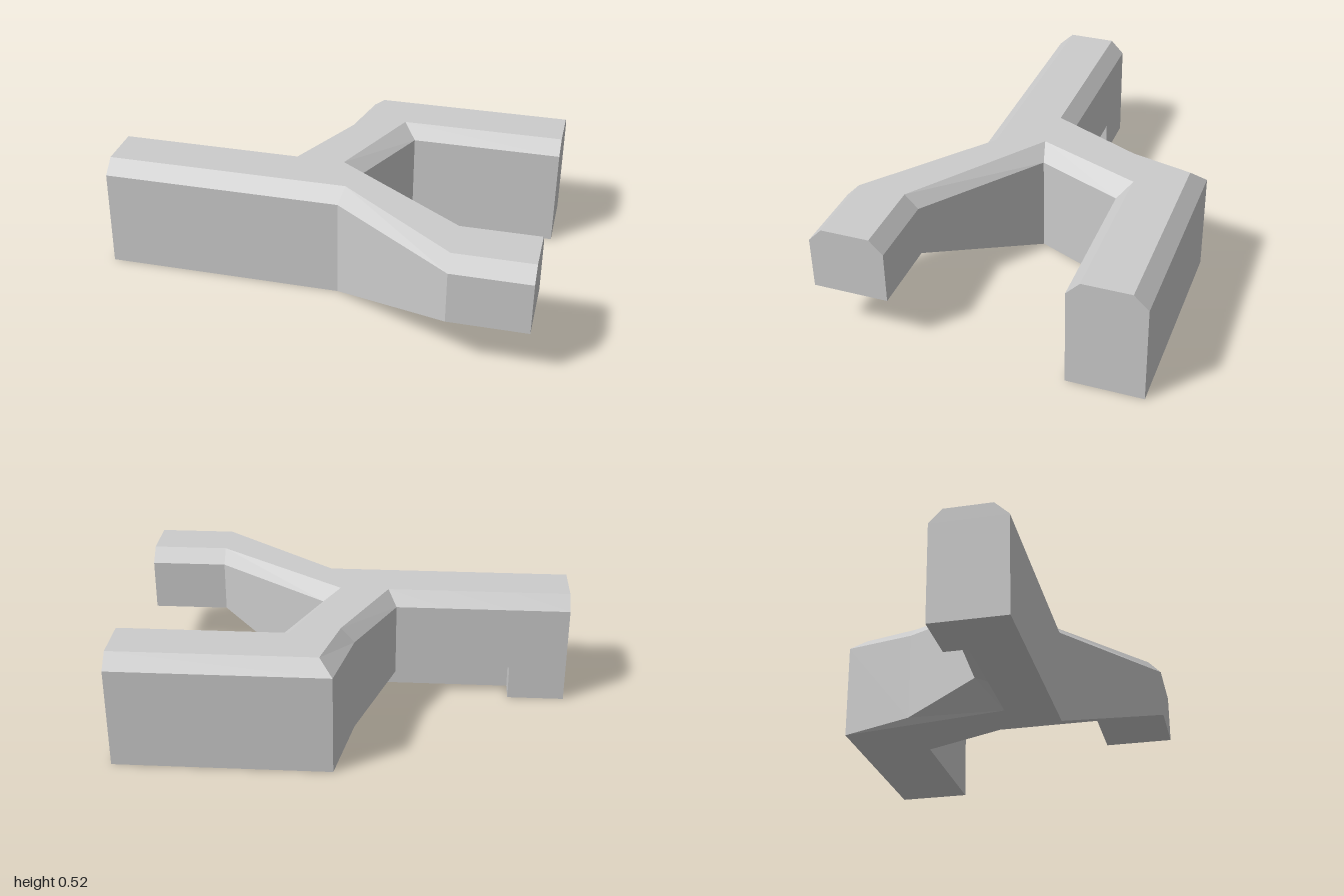
import * as THREE from 'three';

const RIM = 0.455, TOP = 0.517;

// Outline corners, clockwise from above: outer x, outer z, underside height, top x, top z
const OUTLINE = [
  [-1, -0.04, 0, -1, 0.02],
  [-0.74, -0.04, 0, -0.74, 0.02],
  [-0.74, -0.04, 0.16, -0.74, 0.02],
  [-0.45, -0.04, 0.16, -0.45, 0.02],
  [-0.21, -0.04, 0.12, -0.17, 0.02],
  [-0.04, -0.4, 0.03, 0.02, -0.39],
  [0.03, -0.73, 0, 0.09, -0.665],
  [0.99, -0.73, 0, 0.99, -0.665],
  [0.99, -0.39, 0, 0.99, -0.45],
  [0.3, -0.39, 0, 0.24, -0.45],
  [0.13, 0, 0, 0.05, 0.02],
  [0.65, 0.385, 0.22, 0.65, 0.445],
  [1, 0.385, 0.22, 1, 0.445],
  [1, 0.72, 0.22, 1, 0.66],
  [0.65, 0.72, 0.22, 0.65, 0.66],
  [0.09, 0.3, 0, 0.11, 0.235],
  [-1, 0.3, 0, -1, 0.235],
];
const foot = OUTLINE.map(([x, z, y]) => [x, y, z]);
const rim = OUTLINE.map(([x, z]) => [x, RIM, z]);
const crest = OUTLINE.map(([, , , x, z]) => [x, TOP, z]);

// Inner edge of the groove cut under the back of the stem
const groove = [[-0.74, 0, 0.07], [-0.74, 0.16, 0.07], [-0.45, 0.16, 0.07], [-0.2, 0.08, 0.07], [-0.09, 0, 0.07]];

// Fan of triangles, corners in facing order
function fan(points) {
  const out = [];
  for (let i = 1; i < points.length - 1; i++) out.push(points[0], points[i], points[i + 1]);
  return out;
}

// Roughly level polygon turned to face up (1) or down (-1)
function level(points, facing) {
  const flat = points.map(([x, , z]) => new THREE.Vector2(x, z));
  return THREE.ShapeUtils.triangulateShape(flat, []).flatMap(([a, b, c]) => {
    const ab = flat[b].clone().sub(flat[a]), ac = flat[c].clone().sub(flat[a]);
    const up = -ab.cross(ac);
    return (up * facing > 0 ? [a, b, c] : [a, c, b]).map((i) => points[i]);
  });
}

// Band of quads between two loops; the stacked groove corner has no width
function band(low, high) {
  return low.flatMap((a, i) => {
    const j = (i + 1) % low.length;
    if (a[0] === low[j][0] && a[2] === low[j][2]) return [];
    return fan([a, high[i], high[j], low[j]]);
  });
}

export function createModel() {
  const group = new THREE.Group();
  group.name = 'forkedBlock';
  const material = new THREE.MeshStandardMaterial({ color: 0xcccccc, flatShading: true });
  const add = (name, triangles) => {
    const geometry = new THREE.BufferGeometry();
    geometry.setAttribute('position', new THREE.Float32BufferAttribute(triangles.flat(), 3));
    geometry.computeVertexNormals();
    const mesh = new THREE.Mesh(geometry, material);
    mesh.name = name;
    group.add(mesh);
  };
  const pick = (...ids) => ids.map((i) => foot[i]);

  // Upright sides, sloping edge and flat top
  add('walls', band(foot, rim));
  add('bevel', band(rim, crest));
  add('top', level(crest.filter((_, i) => i !== 2), 1));

  // Floor of the stem and the back arm
  add('floor', level([...pick(0, 1), groove[0], groove[4], ...pick(6, 7, 8, 9, 10, 15, 16)], -1));

  // Raised front arm: ramp, then level underside
  add('frontArmUnderside', [...level(pick(10, 11, 14, 15), -1), ...level(pick(11, 12, 13, 14), -1)]);

  // Groove: ceiling, inner side and end stop
  add('groove', [
    ...level([foot[2], foot[3], groove[2], groove[1]], -1),
    ...level([foot[3], foot[4], groove[3], groove[2]], -1),
    ...level([...pick(4, 5, 6), groove[4], groove[3]], -1),
    ...fan(groove),
    ...fan([foot[1], foot[2], groove[1], groove[0]]),
  ]);
  return group;
}
